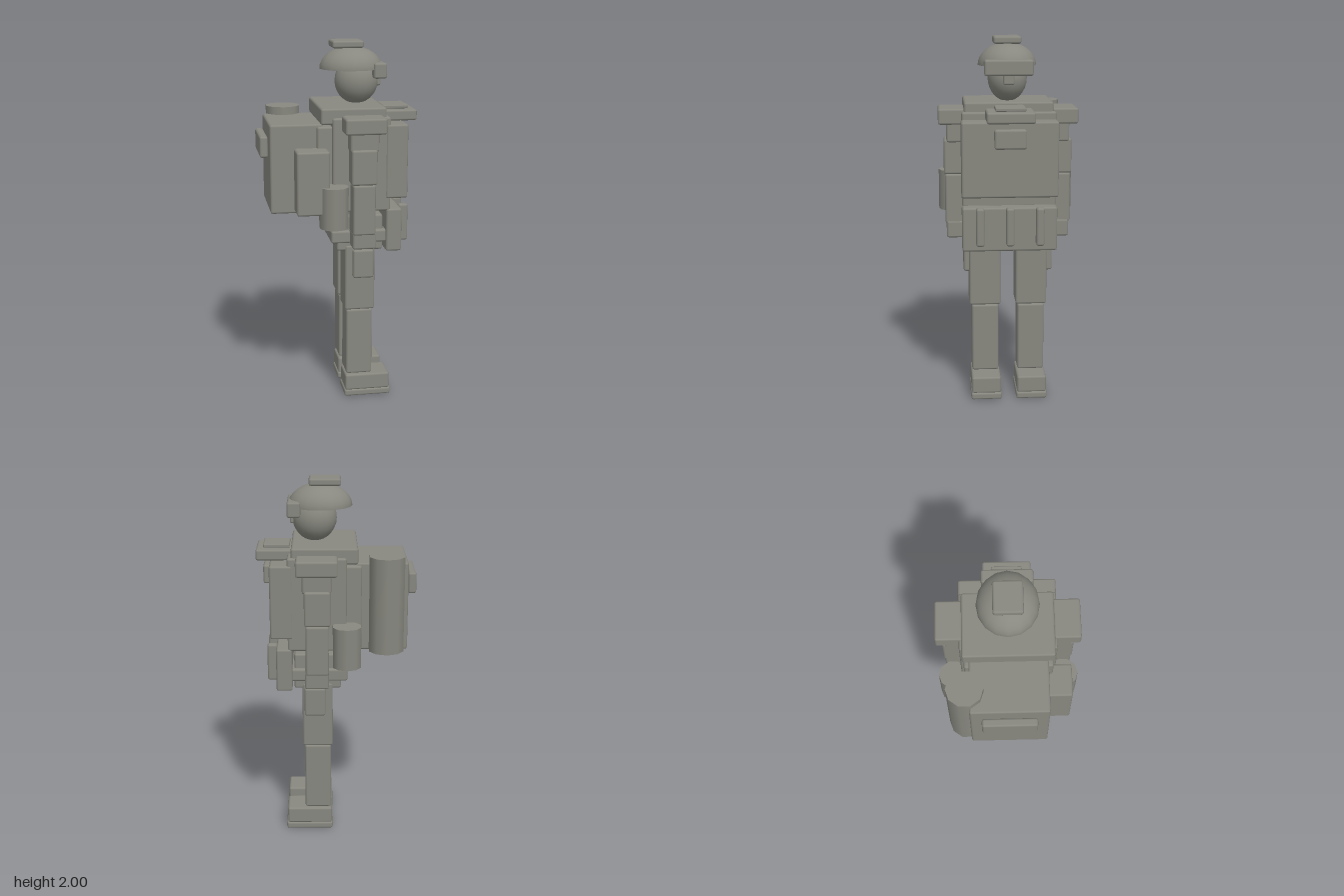
import * as THREE from 'three';
import { RoundedBoxGeometry } from 'three/addons/geometries/RoundedBoxGeometry.js';

export function createModel() {
  const model = new THREE.Group();
  model.name = 'soldier';
  const grey = new THREE.MeshStandardMaterial({ color: 0x888880 });
  grey.name = 'fieldGrey';
  const shell = new THREE.MeshStandardMaterial({ color: 0x888880, side: THREE.DoubleSide });
  shell.name = 'helmetGrey';

  const add = (name, geometry, x, y, z, material = grey) => {
    const mesh = new THREE.Mesh(geometry, material);
    mesh.name = name;
    mesh.position.set(x, y, z);
    model.add(mesh);
    return mesh;
  };
  // Bevelled box given by its limits on each axis
  const box = (name, x0, x1, y0, y1, z0, z1) => {
    const w = x1 - x0, h = y1 - y0, d = z1 - z0;
    const r = Math.min(0.012, Math.min(w, h, d) * 0.3);
    return add(name, new RoundedBoxGeometry(w, h, d, 1, r), (x0 + x1) / 2, (y0 + y1) / 2, (z0 + z1) / 2);
  };
  // Same box on both sides of the body
  const pair = (name, x0, x1, y0, y1, z0, z1) => {
    box(name + 'Left', x0, x1, y0, y1, -z1, -z0);
    box(name + 'Right', x0, x1, y0, y1, z0, z1);
  };

  // Legs
  pair('sole', 0.02, 0.285, 0, 0.04, 0.04, 0.212);
  pair('boot', 0.025, 0.278, 0.035, 0.13, 0.045, 0.208);
  pair('shin', 0.03, 0.177, 0.135, 0.522, 0.053, 0.202);
  pair('thigh', 0.02, 0.187, 0.525, 0.9, 0.042, 0.215);
  pair('thighPouch', 0.06, 0.175, 0.718, 0.88, 0.2, 0.245);

  // Waist
  box('pelvis', -0.025, 0.23, 0.87, 1.07, -0.21, 0.21);
  box('belt', -0.06, 0.262, 0.92, 0.99, -0.235, 0.235);
  box('waist', 0.04, 0.165, 1.05, 1.12, -0.18, 0.18);
  box('frontPouch', 0.24, 0.327, 0.87, 1.11, -0.255, 0.255);
  for (const z of [-0.16, 0, 0.16]) box('magazine', 0.322, 0.377, 0.908, 1.115, z - 0.022, z + 0.022);

  // Torso and vest
  box('torso', -0.055, 0.262, 1.1, 1.612, -0.252, 0.252);
  box('yoke', -0.115, 0.24, 1.575, 1.662, -0.238, 0.238);
  box('chestPlate', 0.235, 0.356, 1.168, 1.572, -0.257, 0.257);
  box('backPlate', -0.135, -0.03, 1.1, 1.565, -0.23, 0.23);
  box('chestPatch', 0.352, 0.395, 1.432, 1.536, -0.085, 0.085);
  box('collarShelf', 0.21, 0.432, 1.57, 1.63, -0.127, 0.127);
  box('shelfPlate', 0.25, 0.392, 1.63, 1.65, -0.08, 0.08);

  // Arms
  pair('shoulderPad', -0.005, 0.215, 1.54, 1.625, 0.233, 0.376);
  pair('upperArm', 0.028, 0.182, 1.44, 1.56, 0.205, 0.332);
  pair('elbow', 0.033, 0.172, 1.265, 1.455, 0.205, 0.347);
  pair('forearm', 0.042, 0.165, 0.99, 1.265, 0.21, 0.342);
  pair('hand', 0.042, 0.17, 0.91, 1.005, 0.215, 0.335);

  // Backpack and load
  box('backpack', -0.385, -0.1, 1.093, 1.577, -0.205, 0.205);
  box('rearPad', -0.433, -0.388, 1.39, 1.506, -0.143, 0.143);
  box('sidePouch', -0.257, -0.08, 1.105, 1.45, 0.2, 0.33);
  add('bedroll', new THREE.CylinderGeometry(0.097, 0.097, 0.52, 10), -0.268, 1.36, -0.226);
  for (const s of [-1, 1]) {
    add('canteen', new THREE.CylinderGeometry(0.079, 0.079, 0.225, 10), -0.055, 1.143, s * 0.296);
  }

  // Head
  add('head', new THREE.SphereGeometry(1, 20, 14), 0.115, 1.78, 0).scale.set(0.12, 0.125, 0.106);
  const dome = new THREE.SphereGeometry(1, 16, 8, 0, Math.PI * 2, 0, Math.PI / 2);
  add('helmet', dome, 0.085, 1.847, 0, shell).scale.set(0.174, 0.12, 0.158);
  box('helmetPad', -0.027, 0.145, 1.96, 2, -0.075, 0.075);
  box('goggles', 0.19, 0.262, 1.8, 1.884, -0.13, 0.13);
  box('nosePiece', 0.215, 0.248, 1.752, 1.81, -0.03, 0.03);

  return model;
}
